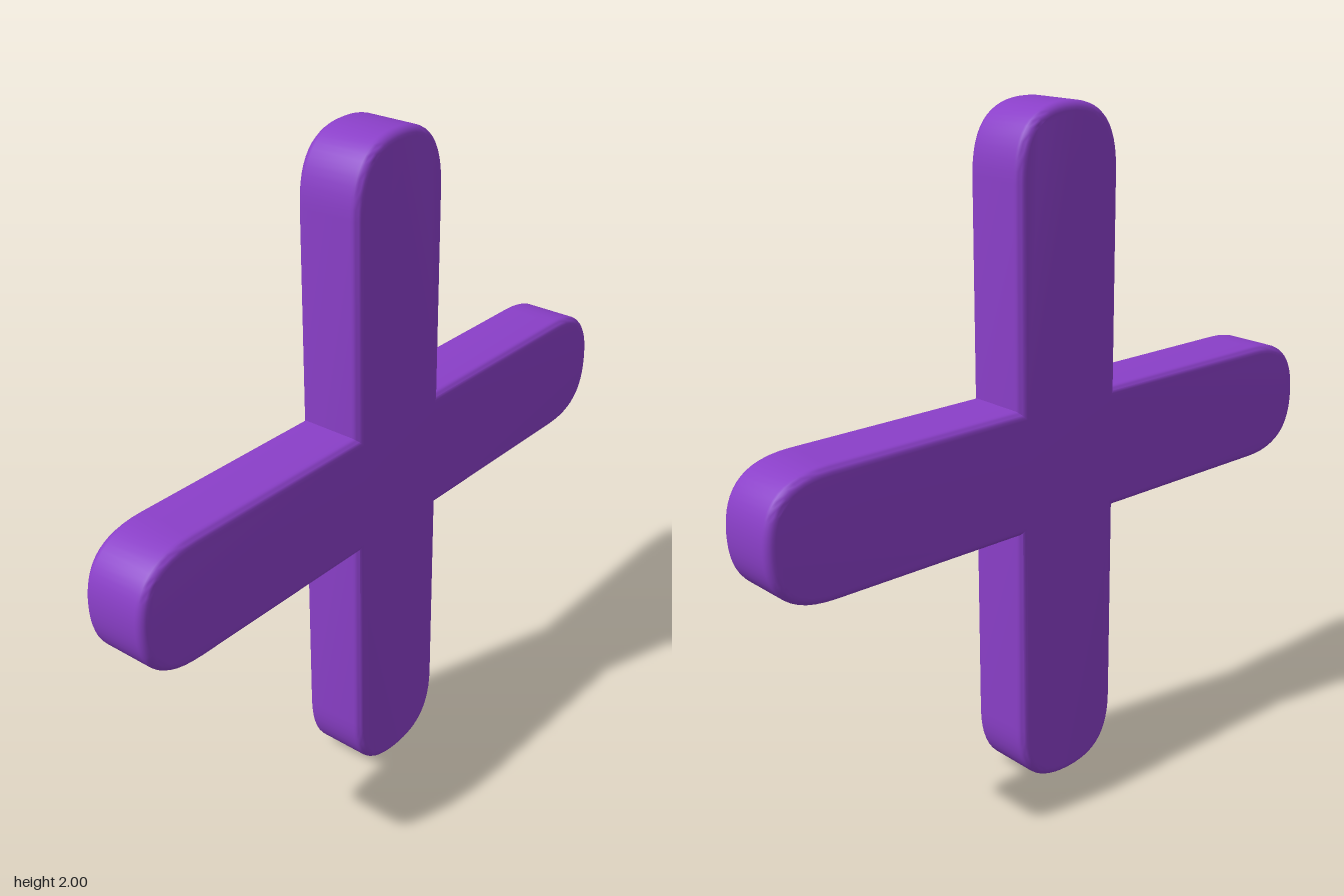
import * as THREE from 'three';
import { toCreasedNormals } from 'three/addons/utils/BufferGeometryUtils.js';

const HALF_WIDTH = 0.183;
const THICKNESS = 0.205;
const BEVEL = 0.025;

// Outline of the arm pointing along +x, from its lower inner corner to its rounded end
function armOutline() {
  const w = HALF_WIDTH;
  const end = new THREE.CubicBezierCurve(
    new THREE.Vector2(0.8, -w), new THREE.Vector2(0.96, -w),
    new THREE.Vector2(1, -0.1), new THREE.Vector2(1, 0)
  ).getPoints(14);
  const upper = end.slice(0, -1).reverse().map((p) => new THREE.Vector2(p.x, -p.y));
  return [new THREE.Vector2(w, -w), ...end, ...upper];
}

export function createModel() {
  const group = new THREE.Group();
  group.name = 'plusSign';

  // Four equal arms, each a quarter turn from the last
  const outline = [];
  let arm = armOutline();
  for (let i = 0; i < 4; i++) {
    outline.push(...arm);
    arm = arm.map((p) => new THREE.Vector2(-p.y, p.x));
  }

  // Rounded slab, with the bevel kept inside the outline
  const depth = THICKNESS - 2 * BEVEL;
  const slab = new THREE.ExtrudeGeometry(new THREE.Shape(outline), {
    depth,
    bevelEnabled: true,
    bevelThickness: BEVEL,
    bevelSize: BEVEL,
    bevelOffset: -BEVEL,
    bevelSegments: 5,
  });
  slab.translate(0, 1, -depth / 2);

  const cross = new THREE.Mesh(
    toCreasedNormals(slab, 0.8),
    new THREE.MeshStandardMaterial({ color: 0x8a3fc8 })
  );
  cross.name = 'cross';
  group.add(cross);
  return group;
}
